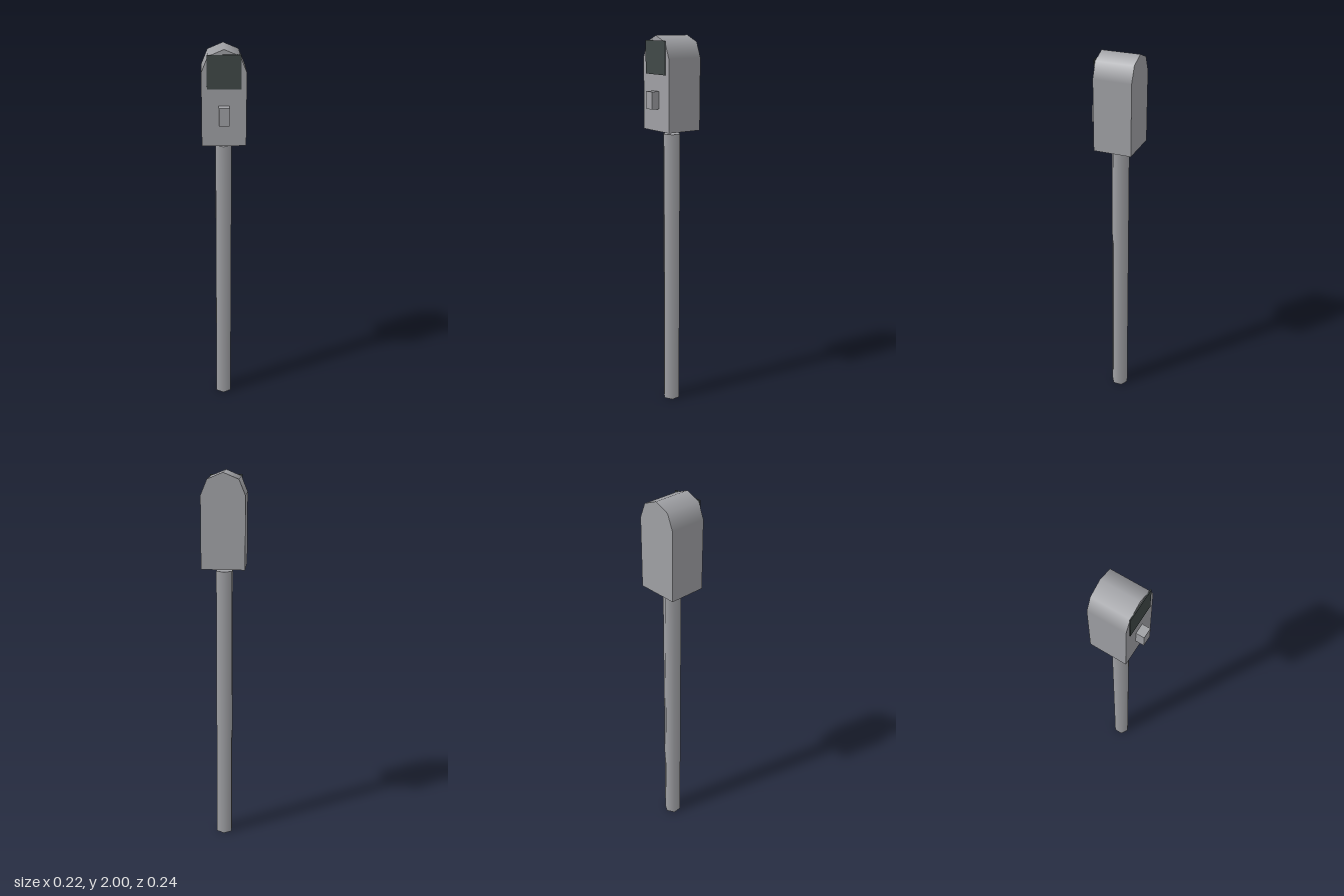
import * as THREE from 'three';

export function createModel() {
  const model = new THREE.Group();
  model.name = 'parkingMeter';

  const metal = new THREE.MeshStandardMaterial({ color: 0x9fa0a4 });
  metal.name = 'grey metal';
  const glass = new THREE.MeshStandardMaterial({ color: 0x404847 });
  glass.name = 'dark glass';

  const add = (name, geometry, material, x, y, z, parent = model) => {
    const mesh = new THREE.Mesh(geometry, material);
    mesh.name = name;
    mesh.position.set(x, y, z);
    parent.add(mesh);
    return mesh;
  };

  // Six-sided post, set a little behind the centre and just short of the head
  const postHeight = 1.505;
  add('post', new THREE.CylinderGeometry(0.047, 0.047, postHeight, 6), metal, 0, postHeight / 2, -0.022);

  // Head: a box with a four-sided smooth half-round roof
  const head = new THREE.Group();
  head.name = 'head';
  model.add(head);
  const radius = 0.11, bottom = 1.527, shoulder = 2 - radius;
  const back = -0.119, front = 0.076;
  const depth = front - back, midZ = (front + back) / 2;
  add('headBody', new THREE.BoxGeometry(radius * 2, shoulder - bottom, depth), metal,
    0, (shoulder + bottom) / 2, midZ, head);
  const roof = new THREE.CylinderGeometry(radius, radius, depth, 4, 1, false, Math.PI / 2, Math.PI);
  roof.rotateX(Math.PI / 2);
  add('headRoof', roof, metal, 0, shoulder, midZ, head);

  // Square display whose upper corners reach past the rounded roof
  add('display', new THREE.BoxGeometry(0.166, 0.165, 0.005), glass, 0, 1.893, front + 0.0025, head);

  // Coin slot block
  add('coinSlot', new THREE.BoxGeometry(0.053, 0.088, 0.043), metal, 0, 1.684, front + 0.0215, head);

  return model;
}
